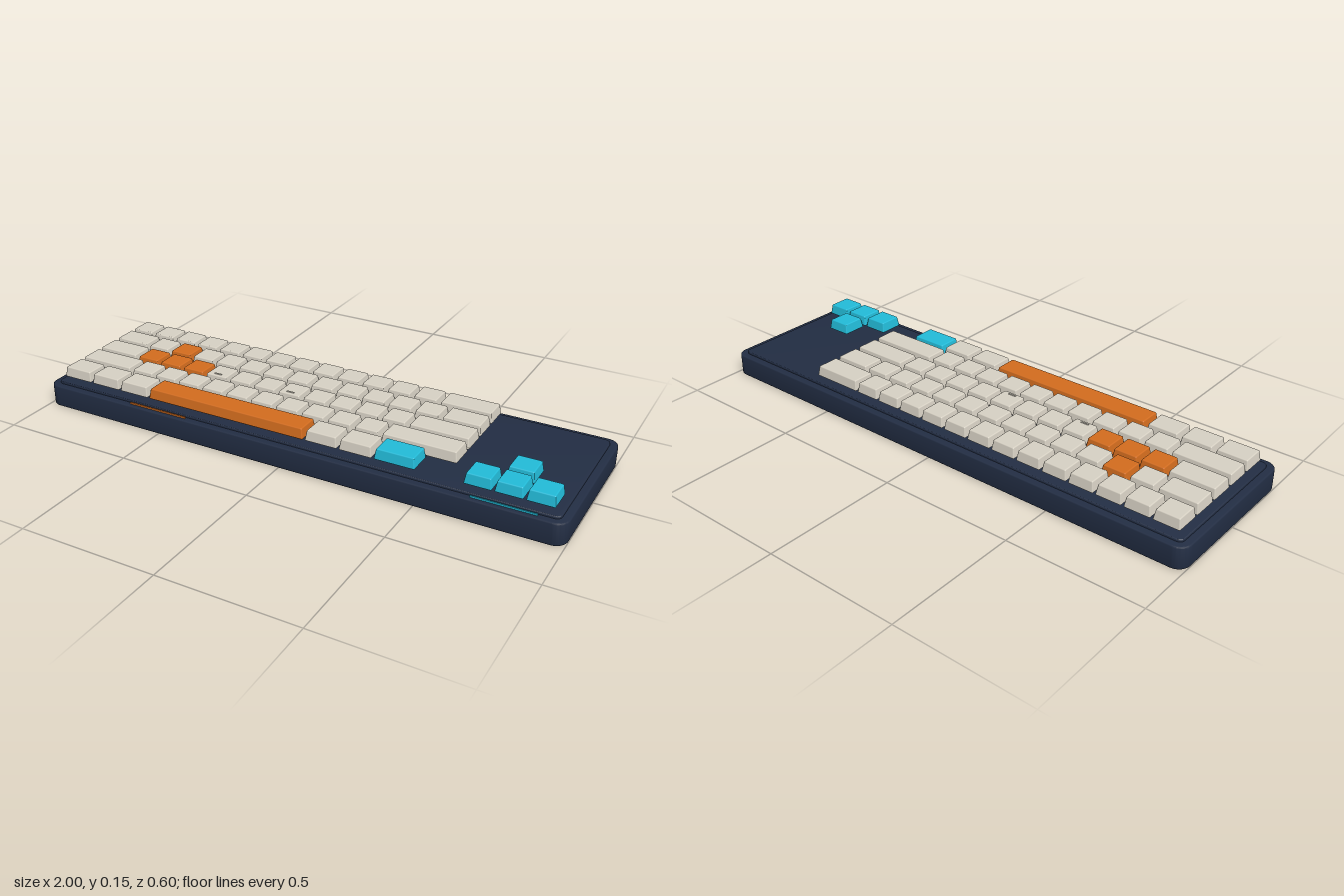
import * as THREE from 'three';
import { toCreasedNormals } from 'three/addons/utils/BufferGeometryUtils.js';
import { RoundedBoxGeometry } from 'three/addons/geometries/RoundedBoxGeometry.js';

const U = 0.1031;          // key pitch
const LEFT = -0.9575;      // left end of the main key block
const GAP = 0.0085;
const KEY_BOTTOM = 0.104, KEY_HEIGHT = 0.039, INSET = 0.006;

const material = (name, color) => {
  const m = new THREE.MeshStandardMaterial({ color });
  m.name = name;
  return m;
};

// Flat slab with rounded corners and a small bevel, standing on y = 0
function slab(width, height, depth, radius, bevel) {
  const x = width / 2 - bevel, z = depth / 2 - bevel, r = radius - bevel;
  const s = new THREE.Shape();
  s.absarc(x - r, z - r, r, 0, Math.PI / 2);
  s.absarc(-x + r, z - r, r, Math.PI / 2, Math.PI);
  s.absarc(-x + r, -z + r, r, Math.PI, Math.PI * 1.5);
  s.absarc(x - r, -z + r, r, Math.PI * 1.5, Math.PI * 2);
  const g = new THREE.ExtrudeGeometry(s, {
    depth: height - 2 * bevel, bevelEnabled: true, bevelThickness: bevel,
    bevelSize: bevel, bevelSegments: 3, curveSegments: 8,
  });
  g.rotateX(-Math.PI / 2).translate(0, bevel, 0);
  return toCreasedNormals(g, 0.6);
}

// Keycap: rounded box whose sides lean inward by a fixed inset
function keycap(width, depth) {
  const g = new RoundedBoxGeometry(width, KEY_HEIGHT, depth, 2, 0.004);
  const p = g.attributes.position, n = g.attributes.normal;
  for (let i = 0; i < p.count; i++) {
    const t = (p.getY(i) / KEY_HEIGHT + 0.5) * INSET * 2;
    p.setX(i, p.getX(i) * (1 - t / width));
    p.setZ(i, p.getZ(i) * (1 - t / depth));
    const nx = n.getX(i), nz = n.getZ(i);
    const v = new THREE.Vector3(nx, n.getY(i) + Math.hypot(nx, nz) * INSET / KEY_HEIGHT, nz).normalize();
    n.setXYZ(i, v.x, v.y, v.z);
  }
  return g;
}

export function createModel() {
  const group = new THREE.Group();
  group.name = 'keyboard';
  const navy = material('navy', 0x222d43);
  const beige = material('beige', 0xd6d0c3);
  const orange = material('orange', 0xd26c1e);
  const cyan = material('cyan', 0x22bbd8);

  const add = (name, geometry, mat, x, y, z, parent = group) => {
    const mesh = new THREE.Mesh(geometry, mat);
    mesh.name = name;
    mesh.position.set(x, y, z);
    parent.add(mesh);
    return mesh;
  };

  // Case and top plate
  add('case', slab(2, 0.081, 0.6, 0.045, 0.005), navy, 0, 0, 0);
  add('plate', slab(1.946, 0.015, 0.546, 0.02, 0.003), navy, 0, 0.0745, 0);

  // Accent strips on the front rim
  add('orangeStrip', new THREE.BoxGeometry(0.24, 0.006, 0.005), orange, -0.51, 0.084, 0.281);
  add('cyanStrip', new THREE.BoxGeometry(0.22, 0.006, 0.005), cyan, 0.794, 0.084, 0.281);

  // One key: cap plus square switch stem
  const caps = {};
  const stem = new THREE.BoxGeometry(0.043, 0.022, 0.043);
  const addKey = (name, units, x, z, mat) => {
    const key = new THREE.Group();
    key.name = name;
    key.position.set(x, 0, z);
    caps[units] ??= keycap(units * U - GAP, U - GAP);
    add('keycap', caps[units], mat, 0, KEY_BOTTOM + KEY_HEIGHT / 2, 0, key);
    add('stem', stem, navy, 0, 0.097, 0, key);
    group.add(key);
    return key;
  };

  // Main block: key widths in units, coloured and ridged keys by index
  const ones = (n) => Array(n).fill(1);
  const rows = [
    { keys: [...ones(13), 2] },
    { keys: [1.5, ...ones(12), 1.5], accents: { 2: orange } },
    { keys: [1.75, ...ones(11), 2.25], accents: { 1: orange, 2: orange, 3: orange }, ridges: [4, 7] },
    { keys: [2.25, ...ones(10), 2.75] },
    { keys: [1.25, 1.25, 1.25, 6.25, 1.25, 1.25, 1.5], accents: { 3: orange, 6: cyan } },
  ];
  const ridge = new THREE.BoxGeometry(0.03, 0.004, 0.005);
  rows.forEach(({ keys, accents = {}, ridges = [] }, r) => {
    let at = 0;
    keys.forEach((units, k) => {
      const key = addKey(`key${r + 1}_${k + 1}`, units, LEFT + (at + units / 2) * U, (r - 2) * U, accents[k] ?? beige);
      if (ridges.includes(k)) add('homingRidge', ridge, beige, 0, 0.1435, 0.028, key);
      at += units;
    });
  });

  // Arrow cluster
  for (const [name, dx, row] of [['arrowLeft', -1, 2], ['arrowDown', 0, 2], ['arrowRight', 1, 2], ['arrowUp', 0, 1]]) {
    addKey(name, 1, 0.799 + dx * U, row * U, cyan);
  }
  return group;
}
